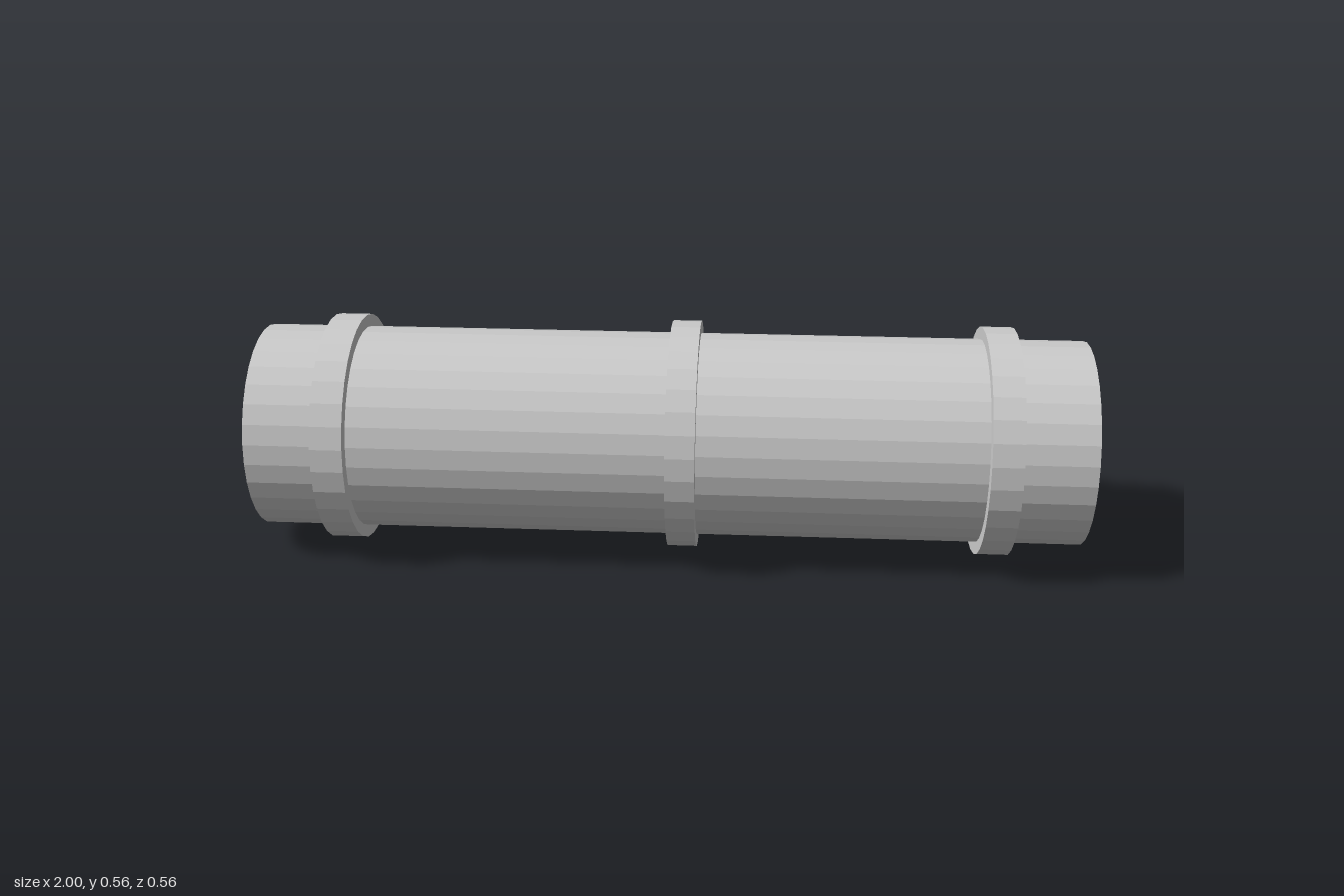
import * as THREE from 'three';

const SIDES = 32;
const BODY_RADIUS = 0.249;
const RING_RADIUS = 0.279;

export function createModel() {
  const model = new THREE.Group();
  model.name = 'bandedPipe';
  const material = new THREE.MeshStandardMaterial({ color: 0xcccccc, flatShading: true });

  // Capped cylinder lying along x between two positions
  function addCylinder(name, radius, x0, x1) {
    const geometry = new THREE.CylinderGeometry(radius, radius, x1 - x0, SIDES);
    geometry.rotateZ(-Math.PI / 2);
    const mesh = new THREE.Mesh(geometry, material);
    mesh.name = name;
    mesh.position.set((x0 + x1) / 2, RING_RADIUS, 0);
    model.add(mesh);
  }

  // Solid main body
  addCylinder('body', BODY_RADIUS, -1, 1);

  // Raised bands around the body
  addCylinder('rightBand', RING_RADIUS, -0.832, -0.755);
  addCylinder('middleBand', RING_RADIUS, 0, 0.07);
  addCylinder('leftBand', RING_RADIUS, 0.75, 0.825);

  return model;
}
